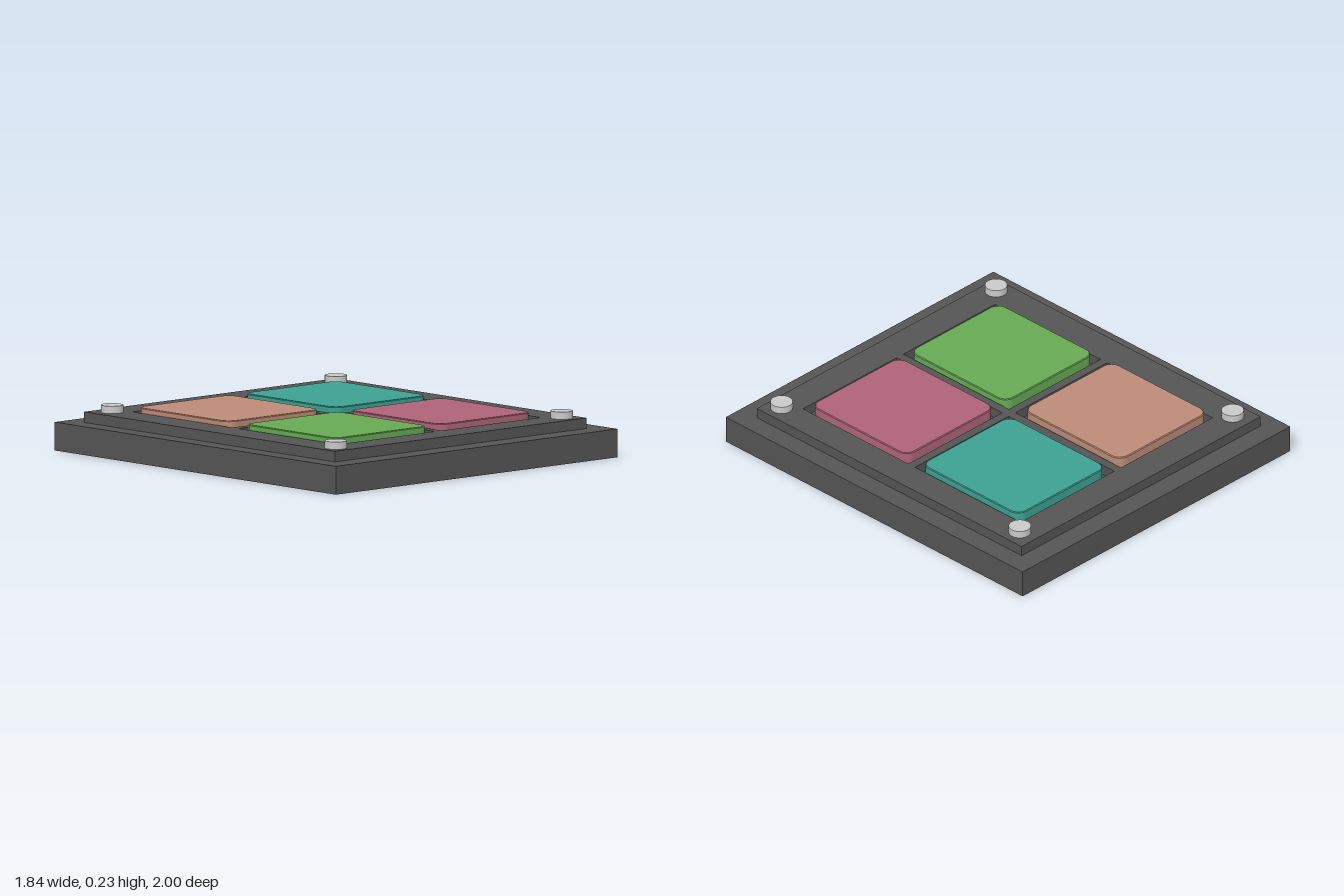
import * as THREE from 'three';

const material = (name, color) => {
  const m = new THREE.MeshStandardMaterial({ color });
  m.name = name;
  return m;
};

// Rectangle outline in plan; y of the shape is -z of the model
function rectangle(path, x0, x1, z0, z1, r = 0) {
  const a = -z1, b = -z0;
  if (!r) {
    path.moveTo(x0, a).lineTo(x1, a).lineTo(x1, b).lineTo(x0, b).lineTo(x0, a);
    return path;
  }
  path.moveTo(x0 + r, a).lineTo(x1 - r, a);
  path.absarc(x1 - r, a + r, r, -Math.PI / 2, 0, false);
  path.absarc(x1 - r, b - r, r, 0, Math.PI / 2, false);
  path.absarc(x0 + r, b - r, r, Math.PI / 2, Math.PI, false);
  path.absarc(x0 + r, a + r, r, Math.PI, Math.PI * 1.5, false);
  return path;
}

// Extrude a plan shape upwards from y0 to y1, with an optional bevel
function slab(name, shape, y0, y1, mat, bevel = 0) {
  const geo = new THREE.ExtrudeGeometry(shape, {
    depth: y1 - y0 - 2 * bevel, curveSegments: 8, bevelEnabled: bevel > 0,
    bevelSize: bevel, bevelThickness: bevel, bevelOffset: -bevel, bevelSegments: 1,
  });
  geo.rotateX(-Math.PI / 2).translate(0, y0 + bevel, 0);
  const mesh = new THREE.Mesh(geo, mat);
  mesh.name = name;
  return mesh;
}

export function createModel() {
  const model = new THREE.Group();
  model.name = 'buttonPanel';
  const dark = material('charcoal', 0x555555);
  const silver = material('silver', 0xcacaca);

  // Base block
  const base = new THREE.Mesh(new THREE.BoxGeometry(1.84, 0.138, 2), dark);
  base.name = 'base';
  base.position.y = 0.069;
  model.add(base);

  // Raised plate with four square openings
  const plate = rectangle(new THREE.Shape(), -0.825, 0.818, -0.893, 0.89);
  for (const [x0, x1] of [[-0.656, -0.026], [0.02, 0.665]]) {
    for (const [z0, z1] of [[-0.735, -0.025], [0.02, 0.73]]) {
      plate.holes.push(rectangle(new THREE.Path(), x0, x1, z0, z1));
    }
  }
  model.add(slab('facePlate', plate, 0.138, 0.19, dark));

  // Coloured buttons with rounded corners
  const buttons = [
    ['backRightButton', -0.652, -0.042, -0.712, -0.058, material('salmon', 0xbd8b78)],
    ['backLeftButton', 0.044, 0.653, -0.71, -0.053, material('teal', 0x3ca292)],
    ['frontRightButton', -0.647, -0.034, 0.05, 0.7, material('green', 0x66aa54)],
    ['frontLeftButton', 0.035, 0.645, 0.05, 0.7, material('rose', 0xb06478)],
  ];
  for (const [name, x0, x1, z0, z1, mat] of buttons) {
    const outline = rectangle(new THREE.Shape(), x0, x1, z0, z1, 0.055);
    model.add(slab(name, outline, 0.138, 0.215, mat, 0.004));
  }

  // Corner screws
  const screwGeo = new THREE.CylinderGeometry(0.054, 0.054, 0.04, 32);
  for (const [x, z] of [[-0.733, -0.795], [0.73, -0.795], [-0.745, 0.81], [0.73, 0.81]]) {
    const screw = new THREE.Mesh(screwGeo, silver);
    screw.name = 'cornerScrew';
    screw.position.set(x, 0.206, z);
    model.add(screw);
  }
  return model;
}
